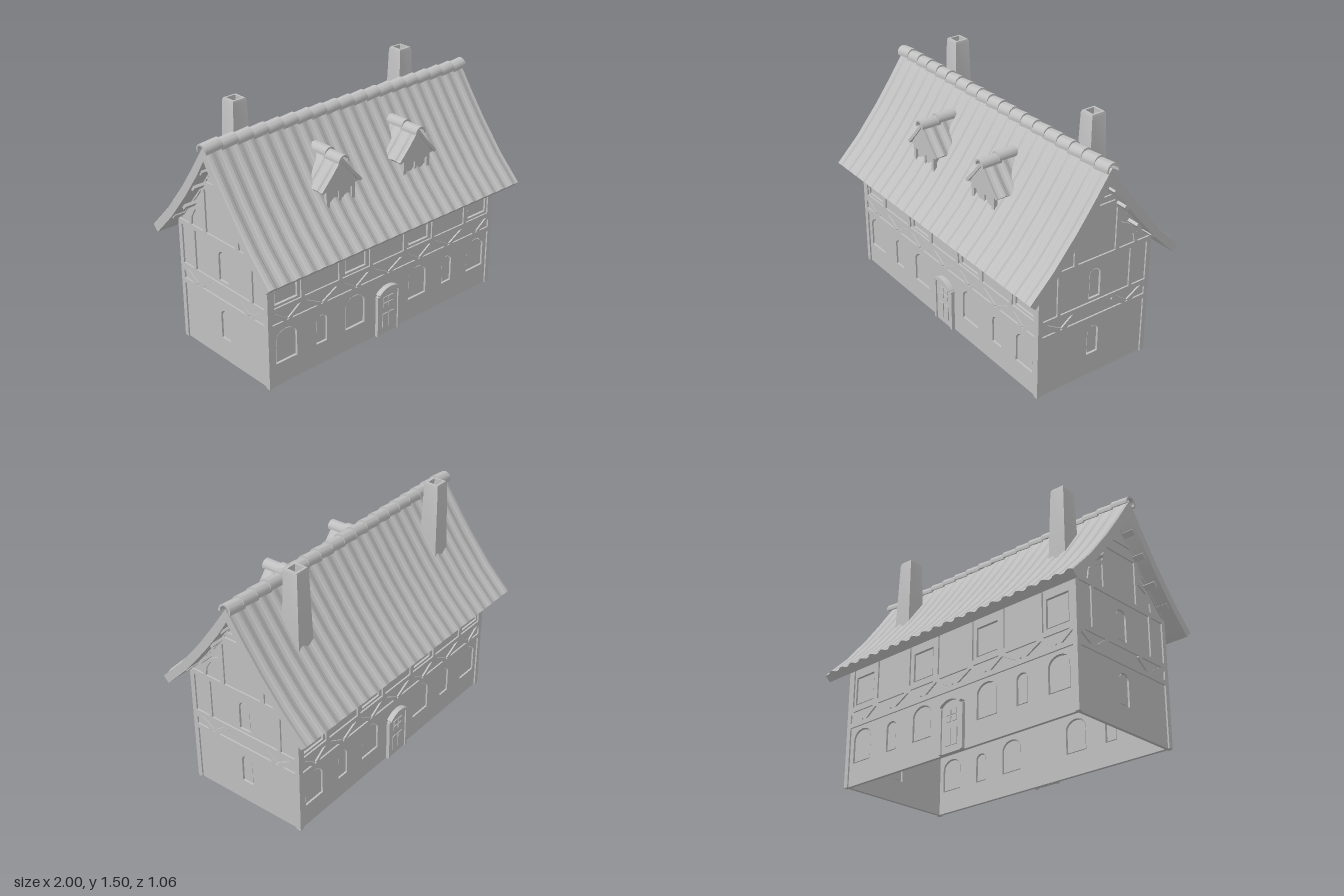
import * as THREE from 'three';
import { toCreasedNormals } from 'three/addons/utils/BufferGeometryUtils.js';

const grey = new THREE.MeshStandardMaterial({ color: 0xc0c0c0, side: THREE.DoubleSide });
grey.name = 'stone grey';

function add(parent, name, geometry, x = 0, y = 0, z = 0) {
  const mesh = new THREE.Mesh(geometry, grey);
  mesh.name = name;
  mesh.position.set(x, y, z);
  parent.add(mesh);
  return mesh;
}
const box = (parent, name, w, h, d, x, y, z) => add(parent, name, new THREE.BoxGeometry(w, h, d), x, y, z);
const extrude = (shape, depth) => new THREE.ExtrudeGeometry(shape, { depth, bevelEnabled: false, curveSegments: 10 });

// Half of the main roof line, ridge to eave: [distance from ridge, height]
const SLOPE = [[0, 1.36], [0.11, 1.2], [0.22, 1.05], [0.37, 0.867], [0.52, 0.715]];

// Window outline, inset by g; rise is the height of the arch
function windowShape([cx, y0, w, h, rise], g = 0) {
  const s = new THREE.Shape(), r = w / 2 - g, spring = y0 + h - rise;
  s.moveTo(cx - r, y0 + g);
  s.lineTo(cx + r, y0 + g);
  if (rise) {
    s.lineTo(cx + r, spring);
    s.absellipse(cx, spring, r, rise - g, 0, Math.PI, false);
  } else {
    s.lineTo(cx + r, y0 + h - g);
    s.lineTo(cx - r, y0 + h - g);
  }
  s.closePath();
  return s;
}

// Curved half-ring tile, extruded along z
function arcTile(outer, inner, from, to, depth) {
  const s = new THREE.Shape();
  s.absarc(0, 0, outer, from, to, false);
  s.absarc(0, 0, inner, to, from, true);
  s.closePath();
  return toCreasedNormals(extrude(s, depth), 0.6);
}

// Gabled slab along x with tile ribs running down both slopes
function ribbedRoof(half, thick, length, ribs, amp) {
  const line = [...half.slice(1).reverse().map(([d, y]) => [-d, y]), ...half];
  const n = line.length, peak = half.length - 1;
  const normals = line.map((p, j) => {
    const a = line[Math.max(j - 1, 0)], b = line[Math.min(j + 1, n - 1)];
    const dz = b[0] - a[0], dy = b[1] - a[1], l = Math.hypot(dz, dy);
    return [-dy / l, dz / l];
  });
  const wave = [[0, 0], [0.1, 0.6], [0.3, 1], [0.5, 0.6], [0.6, 0], [0.8, -0.35]];
  const samples = [];
  for (let r = 0; r < ribs; r++) for (const [t, h] of wave) samples.push([(r + t) / ribs, h * amp]);
  samples.push([1, 0]);

  const pos = [], idx = [], ring = 2 * n;
  for (const [t, h] of samples) {
    for (let k = 0; k < ring; k++) {
      const j = k < n ? k : ring - 1 - k;
      const off = k < n ? h : -thick * (j === peak ? 1.6 : 1);
      pos.push((t - 0.5) * length, line[j][1] + normals[j][1] * off, line[j][0] + normals[j][0] * off);
    }
  }
  for (let i = 0; i < samples.length - 1; i++) {
    for (let k = 0; k < ring; k++) {
      const k2 = (k + 1) % ring, a = i * ring + k, d = i * ring + k2;
      idx.push(a, d, d + ring, a, d + ring, a + ring);
    }
  }
  const last = (samples.length - 1) * ring;
  for (let j = 0; j < n - 1; j++) {
    const o = j, o2 = j + 1, q = ring - 1 - j, q2 = ring - 2 - j;
    idx.push(last + q, last + o, last + o2, last + q, last + o2, last + q2);
    idx.push(q, o2, o, q, q2, o2);
  }
  const g = new THREE.BufferGeometry();
  g.setAttribute('position', new THREE.Float32BufferAttribute(pos, 3));
  g.setIndex(idx);
  return toCreasedNormals(g, 0.3);
}

// Wall panel with window openings and loose-fitting panes; outer beam face at z = d
function wall(name, outline, windows, d) {
  const group = new THREE.Group();
  group.name = name;
  const shape = new THREE.Shape(outline.map(([x, y]) => new THREE.Vector2(x, y)));
  windows.forEach(w => shape.holes.push(windowShape(w)));
  add(group, 'wallPanel', extrude(shape, 0.02), 0, 0, d - 0.03);
  windows.forEach(w => add(group, 'windowPane', extrude(windowShape(w, 0.008), 0.008), 0, 0, d - 0.024));
  // Timber between two points on the wall face
  const beam = (x1, y1, x2, y2, width = 0.025) => {
    const m = box(group, 'timber', Math.hypot(x2 - x1, y2 - y1), width, 0.02, (x1 + x2) / 2, (y1 + y2) / 2, d - 0.01);
    m.rotation.z = Math.atan2(y2 - y1, x2 - x1);
  };
  return { group, beam };
}

function longWall(name) {
  const windows = [];
  for (const s of [-1, 1]) {
    windows.push([s * 0.77, 0.14, 0.15, 0.207, 0.06], [s * 0.255, 0.14, 0.15, 0.207, 0.06]);
    windows.push([s * 0.513, 0.14, 0.082, 0.182, 0.035]);
    windows.push([s * 0.768, 0.515, 0.16, 0.18, 0], [s * 0.255, 0.515, 0.16, 0.18, 0]);
  }
  const { group, beam } = wall(name, [[-0.893, 0], [0.893, 0], [0.893, 0.78], [-0.893, 0.78]], windows, 0.395);
  for (const y of [0.385, 0.485]) beam(-0.905, y, 0.905, y, 0.03);
  for (const s of [-1, 1]) beam(s * 0.89, 0, s * 0.89, 0.78, 0.03);
  const posts = [-0.875, -0.655, -0.375, -0.137, 0.137, 0.375, 0.655, 0.875];
  posts.forEach((x, i) => {
    beam(x, 0.47, x, 0.78);
    if (!i) return;
    const mid = (x + posts[i - 1]) / 2;
    beam(posts[i - 1], 0.47, mid - 0.01, 0.4, 0.022);
    beam(x, 0.47, mid + 0.01, 0.4, 0.022);
  });
  // Door with jambs, panels and curved hood
  const door = new THREE.Group();
  door.name = 'door';
  add(door, 'doorLeaf', extrude(windowShape([0, 0, 0.17, 0.31, 0.045]), 0.012), 0, 0, 0.386);
  for (const s of [-1, 1]) {
    box(door, 'doorJamb', 0.016, 0.27, 0.022, s * 0.083, 0.135, 0.396);
    for (const y of [0.195, 0.235]) box(door, 'doorLight', 0.035, 0.032, 0.006, s * 0.021, y, 0.4);
    box(door, 'doorPanel', 0.04, 0.1, 0.006, s * 0.026, 0.09, 0.4);
  }
  add(door, 'doorHood', arcTile(0.12, 0.103, 0.75, Math.PI - 0.75, 0.035), 0, 0.203, 0.384);
  group.add(door);
  return group;
}

function gableWall(name) {
  const top = SLOPE.slice(0, 4).map(([x, y]) => [Math.min(x, 0.383), y - 0.06]);
  const right = [[0.383, 0], [0.383, 0.79], ...top.reverse()];
  const outline = [...right, ...right.slice(0, -1).reverse().map(([x, y]) => [-x, y])];
  const windows = [0.14, 0.517].map(y => [0, y, 0.08, 0.188, 0.04]);
  const { group, beam } = wall(name, outline, windows, 0.905);
  for (const y of [0.385, 0.485, 0.765]) beam(-0.395, y, 0.395, y, 0.03);
  beam(-0.17, 1.072, 0.17, 1.072, 0.05);
  beam(-0.13, 1.13, 0.13, 1.13, 0.016);
  for (const s of [-1, 1]) {
    beam(s * 0.38, 0, s * 0.38, 0.78, 0.03);
    beam(s * 0.255, 0.5, s * 0.255, 0.75, 0.022);
    beam(s * 0.365, 0.47, s * 0.245, 0.4, 0.03);
    beam(s * 0.13, 0.47, s * 0.225, 0.4, 0.03);
    beam(s * 0.145, 0.78, s * 0.145, 1.05, 0.028);
    // Curved brace, then rafters under the roof
    const brace = [[0.28, 0.78], [0.27, 0.84], [0.235, 0.895], [0.155, 0.935]];
    brace.slice(1).forEach((p, i) => beam(s * brace[i][0], brace[i][1], s * p[0], p[1], 0.022));
    beam(s * 0.38, 0.8, s * 0.21, 0.99, 0.03);
    beam(s * 0.21, 0.99, s * 0.005, 1.27, 0.03);
    // Purlin ends carrying the overhang
    for (const [z, y] of [[0.34, 0.83], [0.23, 0.925], [0.135, 1.07], [0.055, 1.19]]) {
      const p = box(group, 'purlin', 0.035, 0.018, 0.075, s * z, y, 0.935);
      p.rotation.z = -s * 0.85;
    }
  }
  return group;
}

function dormer(x) {
  const group = new THREE.Group();
  group.name = 'dormer';
  group.position.x = x;
  const gable = new THREE.Shape([[-0.125, 1.025], [0.125, 1.025], [0, 1.19]].map(p => new THREE.Vector2(...p)));
  add(group, 'dormerGable', extrude(gable, 0.22), 0, 0, 0.1);
  box(group, 'dormerBody', 0.18, 0.2, 0.16, 0, 0.93, 0.222);
  for (const s of [-1, 1]) box(group, 'dormerPost', 0.022, 0.2, 0.022, s * 0.095, 0.93, 0.307);
  box(group, 'dormerPost', 0.016, 0.2, 0.014, 0, 0.93, 0.304);
  box(group, 'dormerSill', 0.21, 0.02, 0.02, 0, 1.015, 0.308);
  const tiles = ribbedRoof([[0, 1.205], [0.075, 1.115], [0.15, 1.035]], 0.018, 0.23, 3, 0.012);
  add(group, 'dormerRoof', tiles.rotateY(-Math.PI / 2), 0, 0, 0.215);
  [0.1, 0.215].forEach((z, i) => {
    add(group, 'dormerRidgeTile', arcTile(0.038, 0.028, -0.2, Math.PI + 0.2, 0.128), 0, 1.197 - i * 0.012, z);
  });
  return group;
}

function chimney(x) {
  const profile = [[0.064, 0.96], [0.06, 1.06], [0.048, 1.485], [0.043, 1.5], [0.031, 1.5], [0.029, 1.42], [0, 1.42]]
    .map(([r, y]) => new THREE.Vector2(r * Math.SQRT2, y));
  return [toCreasedNormals(new THREE.LatheGeometry(profile, 4, Math.PI / 4), 0.3), x, 0, -0.17];
}

export function createModel() {
  const house = new THREE.Group();
  house.name = 'timberFramedHouse';

  // Four walls
  house.add(longWall('frontWall'));
  const back = longWall('backWall');
  back.rotation.y = Math.PI;
  house.add(back);
  for (const s of [-1, 1]) {
    const side = gableWall(s > 0 ? 'leftGable' : 'rightGable');
    side.rotation.y = s * Math.PI / 2;
    house.add(side);
  }

  // Roof and overlapping ridge tiles
  add(house, 'mainRoof', ribbedRoof(SLOPE, 0.05, 1.98, 22, 0.011));
  const ridge = arcTile(0.042, 0.031, -0.25, Math.PI + 0.25, 0.115).rotateY(Math.PI / 2).rotateZ(0.1);
  for (let i = 0; i < 19; i++) add(house, 'ridgeTile', ridge, -1 + i * 0.1047, 1.338, 0);

  for (const x of [-0.303, 0.293]) house.add(dormer(x));
  for (const x of [-0.642, 0.63]) add(house, 'chimney', ...chimney(x));
  return house;
}
